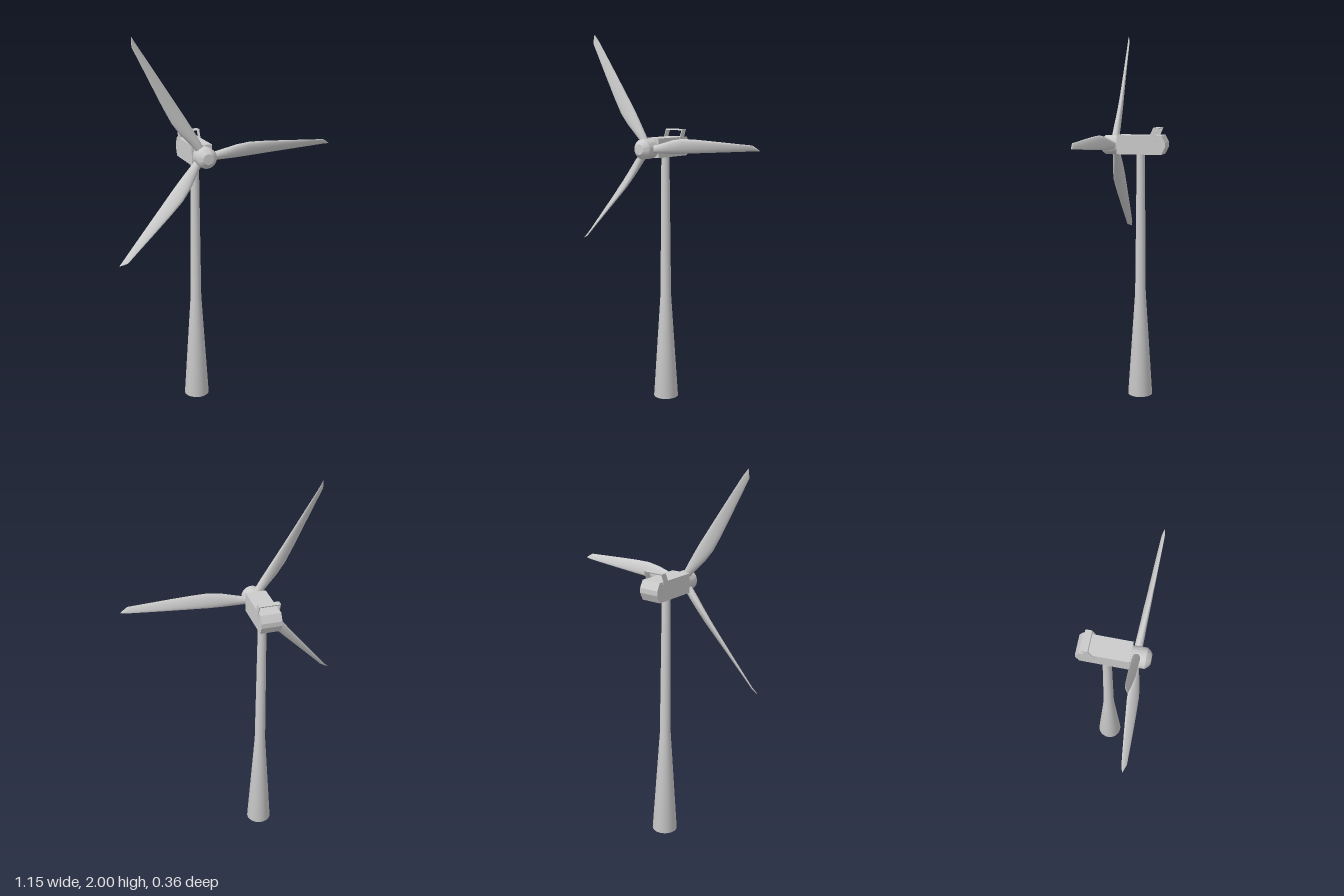
import * as THREE from 'three';
import { toCreasedNormals } from 'three/addons/utils/BufferGeometryUtils.js';

const CX = -0.122; // tower and rotor axis in x
const HUB_Y = 1.403;
const material = new THREE.MeshStandardMaterial({ color: 0xcccccc });

function part(name, geometry, x = 0, y = 0, z = 0) {
  const mesh = new THREE.Mesh(geometry, material);
  mesh.name = name;
  mesh.position.set(x, y, z);
  return mesh;
}

function lathe(points, sides = 32) {
  return new THREE.LatheGeometry(points.map(([r, y]) => new THREE.Vector2(r, y)), sides);
}

// Side profile given as [z, y], extruded across x and centred on it
function sideExtrude(points, width) {
  const shape = new THREE.Shape(points.map(([z, y]) => new THREE.Vector2(-z, y)));
  const geometry = new THREE.ExtrudeGeometry(shape, { depth: width, bevelEnabled: false });
  return geometry.translate(0, 0, -width / 2).rotateY(Math.PI / 2);
}

// Blade along +x: each station is [distance, straight edge, bulged edge, half thickness, twist slope]
function bladeGeometry() {
  const stations = [
    [0.0, -0.021, 0.021, 0.02, 0],
    [0.06, -0.021, 0.023, 0.02, 0],
    [0.11, -0.02, 0.036, 0.019, 0.08],
    [0.17, -0.018, 0.052, 0.017, 0.18],
    [0.24, -0.014, 0.062, 0.015, 0.25],
    [0.33, -0.007, 0.061, 0.012, 0.3],
    [0.45, 0.002, 0.056, 0.009, 0.38],
    [0.58, 0.012, 0.05, 0.006, 0.48],
    [0.655, 0.018, 0.047, 0.004, 0.55],
    [0.675, 0.02, 0.035, 0.003, 0.55],
    [0.693, 0.021, 0.023, 0.001, 0.55],
  ];
  const sides = 16, positions = [], index = [];
  stations.forEach(([s, low, high, thick, slope], i) => {
    const mid = (low + high) / 2, half = (high - low) / 2;
    for (let k = 0; k < sides; k++) {
      const a = (k / sides) * Math.PI * 2;
      const dy = half * Math.cos(a);
      positions.push(s, mid + dy, 0.02 * s + thick * Math.sin(a) + slope * dy);
    }
    if (i === 0) return;
    for (let k = 0; k < sides; k++) {
      const n = (k + 1) % sides, p = (i - 1) * sides, q = i * sides;
      index.push(p + k, p + n, q + k, p + n, q + n, q + k);
    }
  });
  // Close the tip
  const last = (stations.length - 1) * sides;
  for (let k = 1; k < sides - 1; k++) index.push(last, last + k, last + k + 1);
  const geometry = new THREE.BufferGeometry();
  geometry.setAttribute('position', new THREE.Float32BufferAttribute(positions, 3));
  geometry.setIndex(index);
  geometry.computeVertexNormals();
  return geometry;
}

export function createModel() {
  const model = new THREE.Group();
  model.name = 'windTurbine';

  // Tower: flared base below a slim upper tube
  model.add(part('tower', lathe([
    [0, 0], [0.068, 0], [0.0295, 0.59], [0.022, 1.37],
  ]), CX, 0, -0.039));

  // Nacelle: box with chamfered rear
  model.add(part('nacelle', sideExtrude([
    [0.083, 1.355], [0.083, 1.457], [-0.163, 1.457],
    [-0.183, 1.42], [-0.183, 1.395], [-0.163, 1.355],
  ], 0.108), CX - 0.002, 0, 0));

  // Cooler: raked arch of thin plates straddling the rear roof
  const cooler = new THREE.Group();
  cooler.name = 'cooler';
  cooler.position.x = CX - 0.002;
  const leg = [[-0.086, 1.426], [-0.118, 1.497], [-0.151, 1.497], [-0.133, 1.455], [-0.13, 1.426]];
  for (const side of [-1, 1]) {
    cooler.add(part('coolerLeg', sideExtrude(leg, 0.004), side * 0.054, 0, 0));
  }
  cooler.add(part('coolerTop', sideExtrude([
    [-0.115, 1.492], [-0.118, 1.498], [-0.151, 1.498], [-0.148, 1.492],
  ], 0.112)));
  model.add(cooler);

  // Hub with blunt nose
  const hub = lathe([
    [0, 0.08], [0.051, 0.08], [0.053, 0.12], [0.052, 0.155],
    [0.042, 0.168], [0.027, 0.18], [0, 0.181],
  ]).rotateX(Math.PI / 2);
  model.add(part('hub', toCreasedNormals(hub, 0.6), CX, HUB_Y, 0));

  // Blades: [angle around hub, extra pitch] in degrees
  const blade = bladeGeometry();
  for (const [angle, pitch] of [[0, 0], [119.1, 0], [227.5, 25]]) {
    const mesh = part('blade', blade, CX, HUB_Y, 0.107);
    mesh.rotation.set(THREE.MathUtils.degToRad(pitch), 0, THREE.MathUtils.degToRad(angle), 'ZYX');
    model.add(mesh);
  }
  return model;
}
